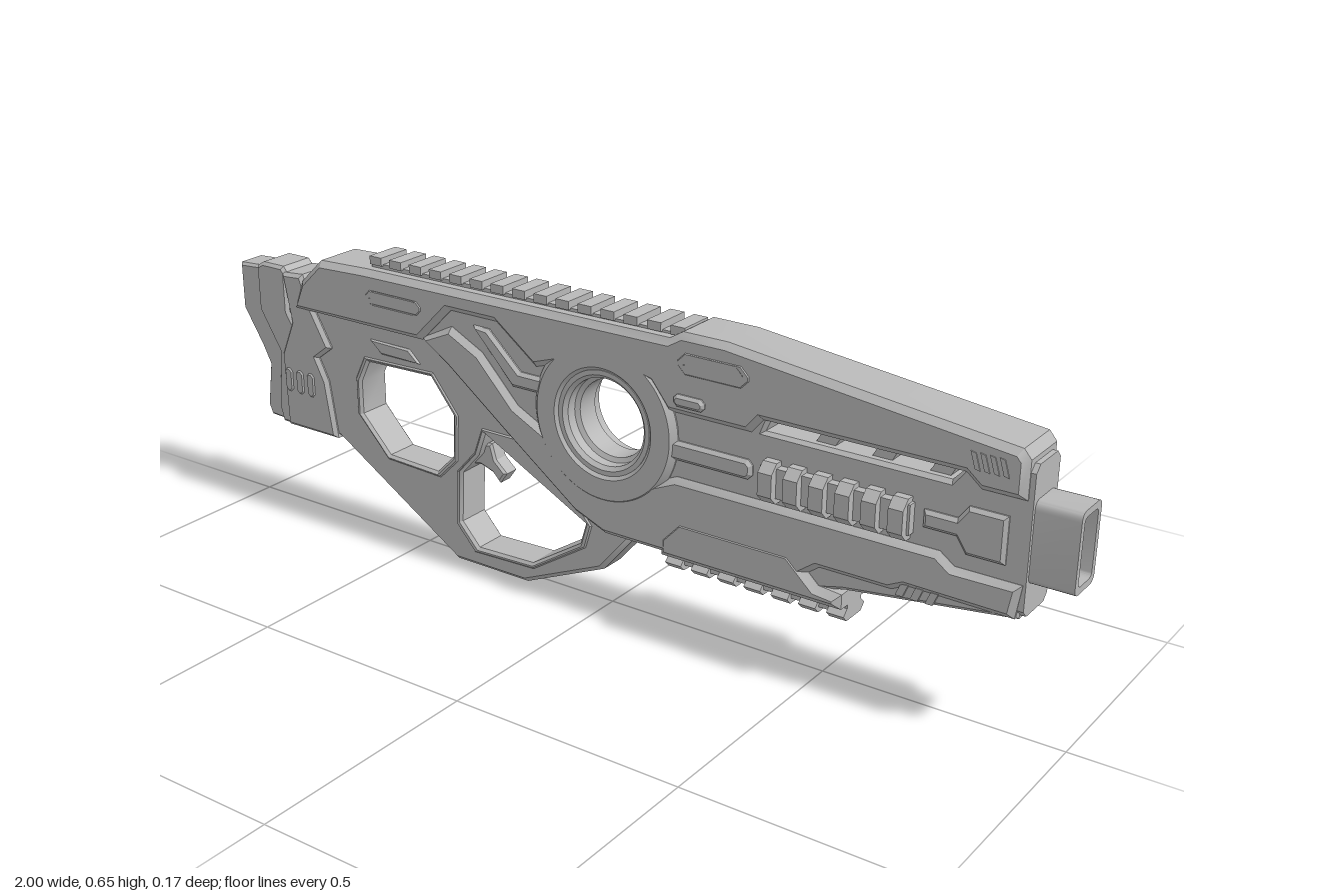
import * as THREE from 'three';
import { toCreasedNormals } from 'three/addons/utils/BufferGeometryUtils.js';

const grey = new THREE.MeshStandardMaterial({ color: 0xb8b8b8 });
grey.name = 'plain grey';

const RING = [0.02, 0.425]; // centre of the round opening

const vecs = (pts) => pts.map(([x, y]) => new THREE.Vector2(x, y));
const circle = (r) => new THREE.Path().absarc(RING[0], RING[1], r, 0, Math.PI * 2);

// Scale an outline about its middle
function grow(pts, s) {
  const cx = pts.reduce((a, p) => a + p[0], 0) / pts.length;
  const cy = pts.reduce((a, p) => a + p[1], 0) / pts.length;
  return pts.map(([x, y]) => [cx + (x - cx) * s, cy + (y - cy) * s]);
}

// Symmetric plate from -half to +half in z, with chamfered rims
function plate(shape, half, bevel = 0.01) {
  const geo = new THREE.ExtrudeGeometry(shape, {
    depth: 2 * (half - bevel), bevelEnabled: bevel > 0, bevelThickness: bevel,
    bevelSize: bevel, bevelOffset: -bevel, bevelSegments: 1, curveSegments: 40,
  });
  geo.translate(0, 0, -(half - bevel));
  return toCreasedNormals(geo, 0.5);
}

// Cross-section in z and y, extruded along x
function alongX(shape, x0, length) {
  const geo = new THREE.ExtrudeGeometry(shape, { depth: length, bevelEnabled: false, curveSegments: 6 });
  return toCreasedNormals(geo.rotateY(Math.PI / 2).translate(x0, 0, 0), 0.5);
}

// Outline with cut corners, counter-clockwise
const hexBar = (x0, x1, y0, y1, cut) => [
  [x0 + cut, y0], [x1 - cut, y0], [x1, y0 + cut], [x1, y1 - cut],
  [x1 - cut, y1], [x0 + cut, y1], [x0, y1 - cut], [x0, y0 + cut]];

// Round-cornered rectangle
const rounded = (path, w, y0, y1, r) => path
  .moveTo(-w + r, y0).lineTo(w - r, y0).quadraticCurveTo(w, y0, w, y0 + r)
  .lineTo(w, y1 - r).quadraticCurveTo(w, y1, w - r, y1)
  .lineTo(-w + r, y1).quadraticCurveTo(-w, y1, -w, y1 - r)
  .lineTo(-w, y0 + r).quadraticCurveTo(-w, y0, -w + r, y0);

export function createModel() {
  const model = new THREE.Group();
  model.name = 'toyBlaster';

  const add = (name, geo) => {
    const mesh = new THREE.Mesh(geo, grey);
    mesh.name = name;
    model.add(mesh);
  };
  const slab = (name, pts, half, bevel, holes = []) => {
    const shape = new THREE.Shape(vecs(pts));
    shape.holes = holes.map((h) => (Array.isArray(h) ? new THREE.Path(vecs(h)) : h));
    add(name, plate(shape, half, bevel));
  };
  const box = (name, x0, x1, y0, y1, half) => {
    const geo = new THREE.BoxGeometry(x1 - x0, y1 - y0, 2 * half);
    add(name, geo.translate((x0 + x1) / 2, (y0 + y1) / 2, 0));
  };

  // Lower frame with stock and grip openings, both counter-clockwise
  const stockHole = [[-0.645, 0.36], [-0.645, 0.285], [-0.57, 0.205], [-0.435, 0.2],
    [-0.39, 0.245], [-0.385, 0.34], [-0.445, 0.415], [-0.62, 0.41]];
  const gripHole = [[-0.32, 0.265], [-0.365, 0.215], [-0.37, 0.1], [-0.325, 0.05], [-0.18, 0.055],
    [-0.055, 0.135], [-0.04, 0.185], [-0.09, 0.245], [-0.15, 0.27], [-0.18, 0.32], [-0.3, 0.32]];
  slab('lowerFrame', [[-0.87, 0.21], [-0.72, 0.21], [-0.39, 0.003], [-0.2, 0.003], [0, 0.09],
    [0.08, 0.185], [0.08, 0.25], [-0.11, 0.34], [-0.12, 0.54], [-0.78, 0.54], [-0.87, 0.5]],
  0.039, 0.01, [stockHole, gripHole]);
  slab('stockOpeningRim', grow(stockHole, 1.13), 0.042, 0.006, [stockHole]);
  slab('gripOpeningRim', grow(gripHole, 1.11), 0.042, 0.006, [gripHole]);
  slab('trigger', [[-0.37, 0.23], [-0.33, 0.235], [-0.3, 0.225], [-0.28, 0.205], [-0.262, 0.23],
    [-0.29, 0.255], [-0.3, 0.29], [-0.36, 0.28]], 0.02, 0.005);
  slab('framePanel', [[-0.61, 0.465], [-0.5, 0.465], [-0.47, 0.437], [-0.58, 0.437]], 0.044, 0.004);

  // Stock and butt
  slab('buttPad', [[-1, 0.565], [-0.92, 0.57], [-0.92, 0.47], [-0.87, 0.39], [-0.88, 0.24],
    [-0.86, 0.212], [-0.935, 0.215], [-0.945, 0.24], [-0.93, 0.34], [-0.95, 0.38], [-1, 0.46]], 0.036, 0.006);
  slab('stockBand', [[-0.94, 0.57], [-0.92, 0.582], [-0.86, 0.582], [-0.85, 0.57], [-0.85, 0.48],
    [-0.8, 0.4], [-0.81, 0.21], [-0.89, 0.212], [-0.9, 0.25], [-0.885, 0.38], [-0.94, 0.47]], 0.046, 0.007);
  slab('stockBlock', [[-0.86, 0.57], [-0.8, 0.575], [-0.77, 0.5], [-0.725, 0.42], [-0.765, 0.39],
    [-0.74, 0.34], [-0.72, 0.21], [-0.87, 0.21], [-0.875, 0.38], [-0.84, 0.46]], 0.05, 0.008);
  for (let i = 0; i < 3; i++) {
    const x = -0.865 + i * 0.033;
    slab('stockRib', hexBar(x, x + 0.022, 0.295, 0.35, 0.007), 0.053, 0.003);
  }

  // Body core with round opening and upper slot
  const slot = [[0.38, 0.49], [0.76, 0.49], [0.78, 0.512], [0.39, 0.512]];
  slab('bodyCore', [[-0.8, 0.51], [-0.78, 0.565], [-0.72, 0.615], [0.18, 0.625], [0.3, 0.64],
    [0.89, 0.575], [0.905, 0.55], [0.905, 0.26], [0.56, 0.215], [0.5, 0.2], [0.15, 0.195], [0.02, 0.19],
    [-0.05, 0.22], [-0.225, 0.345], [-0.385, 0.465], [-0.47, 0.505]],
  0.05, 0.008, [circle(0.1), slot]);
  for (let i = 0; i < 3; i++) {
    const x = 0.475 + i * 0.115;
    slab('slotBar', [[x, 0.48], [x + 0.04, 0.48], [x + 0.06, 0.517], [x + 0.02, 0.517]], 0.03, 0);
  }
  add('noseCap', alongX(new THREE.Shape(vecs(hexBar(-0.05, 0.05, 0.265, 0.555, 0.014))), 0.85, 0.065));

  // Raised shell plates
  slab('upperShell', [[-0.815, 0.5], [-0.79, 0.565], [-0.73, 0.622], [-0.6, 0.627], [0.17, 0.632],
    [0.2, 0.65], [0.3, 0.65], [0.89, 0.583], [0.905, 0.565], [0.905, 0.49], [0.82, 0.49], [0.79, 0.515],
    [0.38, 0.515], [0.355, 0.485], [0.17, 0.485], [0.13, 0.535], [0.02, 0.56], [-0.09, 0.525],
    [-0.15, 0.505], [-0.25, 0.58], [-0.37, 0.58], [-0.45, 0.5]], 0.065, 0.013);
  slab('lowerShell', [[-0.45, 0.505], [-0.385, 0.46], [-0.225, 0.34], [-0.055, 0.215], [0.02, 0.185],
    [0.15, 0.185], [0.43, 0.19], [0.51, 0.25], [0.66, 0.25], [0.69, 0.265], [0.9, 0.262], [0.91, 0.33],
    [0.78, 0.33], [0.75, 0.352], [0.19, 0.352], [0.14, 0.33], [0.1, 0.31], [0.02, 0.295], [-0.06, 0.315],
    [-0.12, 0.37], [-0.2, 0.41], [-0.29, 0.505], [-0.37, 0.545]], 0.063, 0.012);
  const collar = new THREE.Shape().absarc(RING[0], RING[1], 0.172, 0, Math.PI * 2);
  collar.holes.push(circle(0.105));
  add('ringCollar', plate(collar, 0.065, 0.012));

  // Stepped sleeve lining the round opening
  const sleeve = new THREE.LatheGeometry(vecs([[0.082, -0.025], [0.092, -0.03], [0.092, -0.052],
    [0.1, -0.06], [0.11, -0.06], [0.11, 0.06], [0.1, 0.06], [0.092, 0.052], [0.092, 0.03],
    [0.082, 0.025], [0.082, -0.025]]), 48);
  add('ringSleeve', toCreasedNormals(sleeve.rotateX(Math.PI / 2).translate(...RING, 0), 0.4));

  // Side details
  slab('chevronBar', [[-0.31, 0.56], [-0.27, 0.56], [-0.19, 0.485], [-0.105, 0.485], [-0.105, 0.45],
    [-0.21, 0.45]], 0.06, 0.007);
  slab('centreBar', hexBar(0.155, 0.36, 0.388, 0.428, 0.01), 0.06, 0.007);
  slab('frontBracket', [[0.715, 0.39], [0.78, 0.39], [0.8, 0.36], [0.875, 0.36], [0.875, 0.453],
    [0.8, 0.453], [0.78, 0.425], [0.715, 0.425]], 0.06, 0.007);
  const vent = hexBar(0.195, 0.355, 0.57, 0.615, 0.018);
  slab('ventRim', vent, 0.067, 0.003, [grow(vent, 0.78)]);
  slab('sideButton', hexBar(0.19, 0.26, 0.505, 0.53, 0.008), 0.074, 0.006);
  const rearVent = hexBar(-0.595, -0.44, 0.555, 0.587, 0.012);
  slab('rearVentRim', rearVent, 0.067, 0.003, [grow(rearVent, 0.82)]);
  for (let i = 0; i < 4; i++) {
    const x = 0.8 + i * 0.018;
    slab('frontMark', [[x, 0.562], [x + 0.01, 0.56], [x + 0.02, 0.528], [x + 0.01, 0.53]], 0.067, 0);
  }
  for (let i = 0; i < 3; i++) {
    const x = 0.67 + i * 0.03;
    slab('lowerMark', [[x, 0.243], [x + 0.015, 0.243], [x + 0.025, 0.268], [x + 0.01, 0.268]], 0.056, 0);
  }

  // Side rails with tapered teeth
  box('sideRailBase', 0.385, 0.695, 0.372, 0.432, 0.068);
  const sideTooth = new THREE.Shape(vecs(hexBar(-0.085, 0.085, 0.36, 0.442, 0.018)));
  for (let i = 0; i < 6; i++) add('sideRailTooth', alongX(sideTooth, 0.39 + i * 0.054, 0.03));

  // Top rail
  box('topRailBase', -0.6, 0.2, 0.615, 0.637, 0.034);
  for (let i = 0; i < 15; i++) {
    const x = -0.6 + i * 0.0545;
    box('topRailTooth', x, x + 0.032, 0.634, 0.652, 0.04);
  }

  // Lower rail block with bevelled teeth
  slab('underBlock', [[0.155, 0.176], [0.56, 0.176], [0.56, 0.207], [0.51, 0.212], [0.45, 0.268],
    [0.2, 0.268], [0.155, 0.22]], 0.065, 0.014);
  box('underRailNeck', 0.155, 0.56, 0.153, 0.18, 0.026);
  const underTooth = new THREE.Shape(vecs([[-0.027, 0.142], [0.027, 0.142], [0.04, 0.155],
    [0.027, 0.168], [-0.027, 0.168], [-0.04, 0.155]]));
  for (let i = 0; i < 7; i++) add('underRailTooth', alongX(underTooth, 0.157 + i * 0.061, 0.037));

  // Hollow muzzle
  const muzzle = rounded(new THREE.Shape(), 0.042, 0.328, 0.488, 0.018);
  muzzle.holes.push(rounded(new THREE.Path(), 0.029, 0.342, 0.474, 0.012));
  add('muzzle', alongX(muzzle, 0.9, 0.1));

  return model;
}
